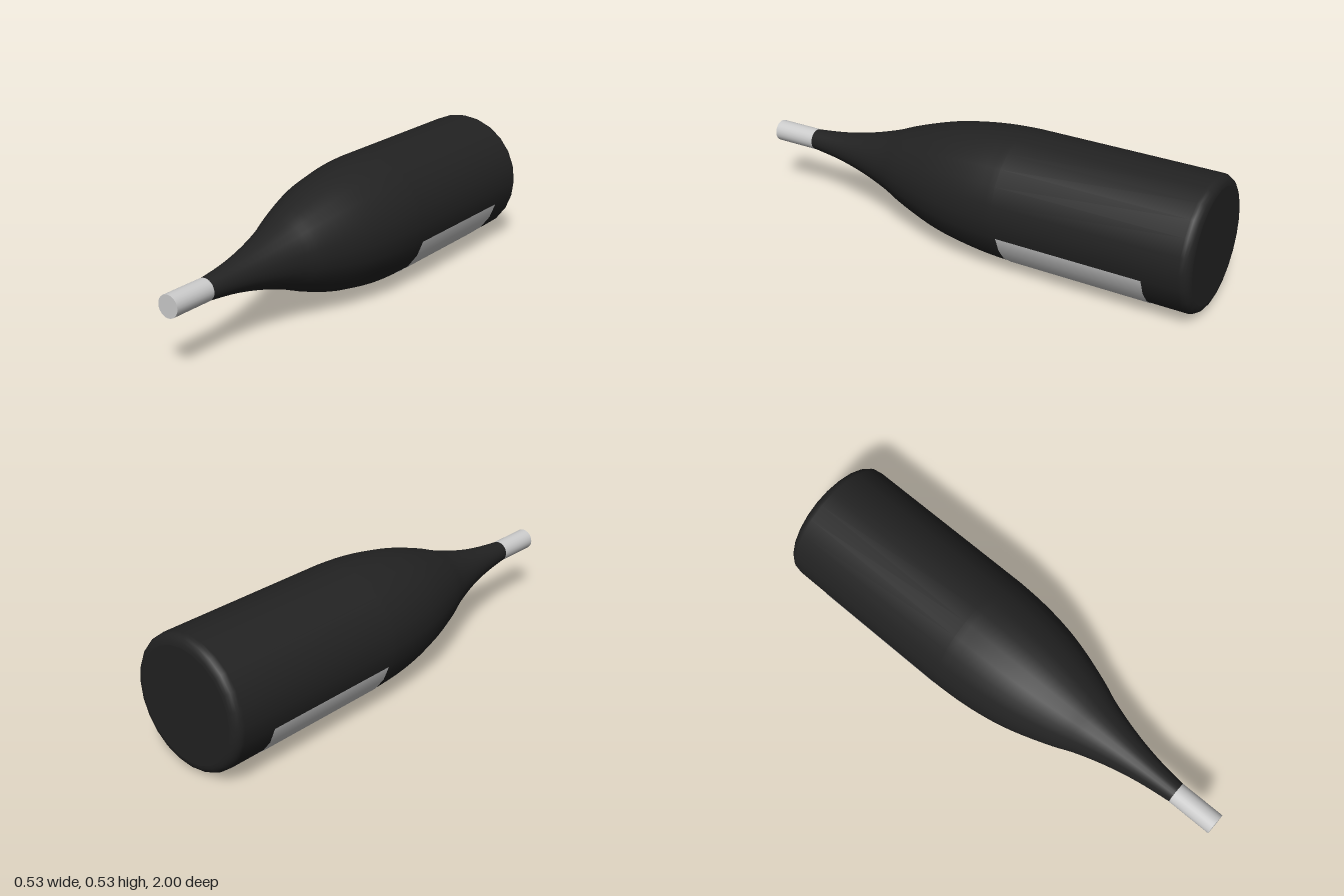
import * as THREE from 'three';

const SIDES = 24;
const AXIS_Y = 0.268; // height of the lying bottle's axis

// Turn a [radius, z] profile about the z axis; phi = 0 is the underside.
function turned(profile, segments = SIDES, start = 0, sweep = Math.PI * 2) {
  const points = profile.map(([r, z]) => new THREE.Vector2(r, z));
  return new THREE.LatheGeometry(points, segments, start, sweep).rotateX(Math.PI / 2);
}

export function createModel() {
  const group = new THREE.Group();
  const glass = new THREE.MeshStandardMaterial({ color: 0x222222 });
  const grey = new THREE.MeshStandardMaterial({ color: 0xcccccc });
  const paper = new THREE.MeshStandardMaterial({ color: 0xcccccc, side: THREE.DoubleSide });

  const add = (name, geometry, material) => {
    const mesh = new THREE.Mesh(geometry, material);
    mesh.name = name;
    mesh.position.y = AXIS_Y;
    group.add(mesh);
  };

  // Body: rounded heel, straight barrel, shoulder and neck
  const R = 0.266, heel = 0.038;
  const profile = [];
  for (let i = 0; i <= 5; i++) {
    const a = (i / 5) * Math.PI / 2;
    profile.push([R - heel + heel * Math.sin(a), -1 + heel - heel * Math.cos(a)]);
  }
  const shoulder = new THREE.SplineCurve([
    [R, -0.2], [0.261, -0.1], [0.25, 0], [0.232, 0.1], [0.205, 0.2], [0.164, 0.32],
    [0.131, 0.4], [0.099, 0.5], [0.074, 0.6], [0.056, 0.7], [0.043, 0.81],
  ].map(([r, z]) => new THREE.Vector2(r, z)));
  shoulder.getPoints(30).forEach((p) => profile.push([p.x, p.y]));
  add('bottleBody', turned(profile), glass);

  // Flat base disc
  add('bottleBase', new THREE.CircleGeometry(R - heel, SIDES).rotateY(Math.PI).translate(0, 0, -1), glass);

  // Neck cap
  add('neckCap', new THREE.CylinderGeometry(0.044, 0.044, 0.19, SIDES).rotateX(Math.PI / 2).translate(0, 0, 0.905), grey);

  // Label wrapped around the underside, 75 degrees to each side
  const half = THREE.MathUtils.degToRad(75);
  add('label', turned([[0.268, -0.82], [0.268, -0.22]], 10, -half, half * 2), paper);

  return group;
}
